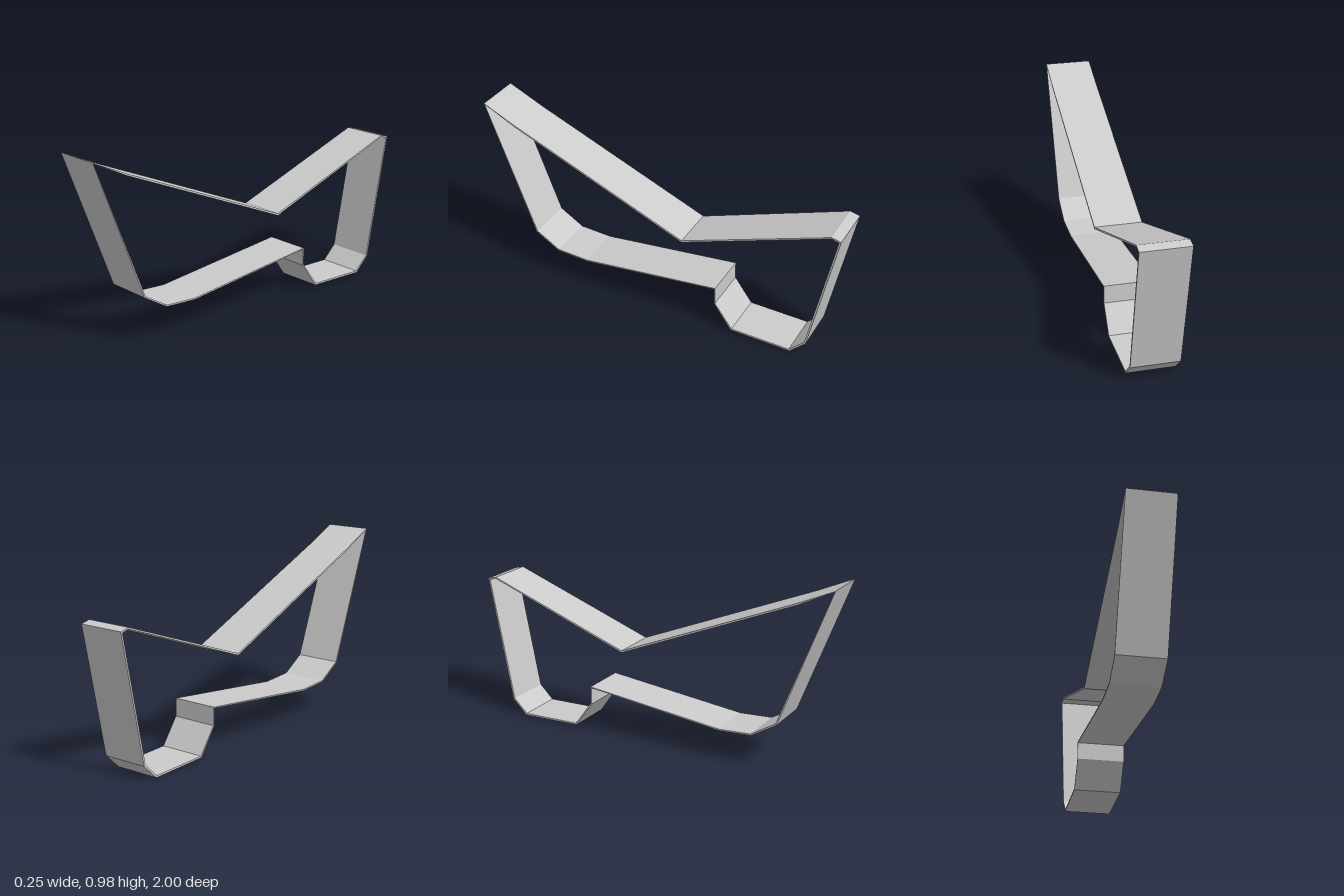
import * as THREE from 'three';

const WIDTH = 0.25;

// Outer outline of the band, seen from the side: [z, y, thickness]
const OUTLINE = [
  [1.0, 0.975, 0.002],    // front tip
  [0.725, 0.25, 0.008],
  [0.59, 0.168, 0.008],
  [0.41, 0.157, 0.008],
  [-0.349, 0.241, 0.006], // step
  [-0.35, 0.15, 0.007],
  [-0.45, 0.01, 0.009],
  [-0.782, 0.0, 0.01],
  [-0.865, 0.08, 0.01],
  [-1.0, 0.755, 0.009],   // back tip
  [-0.95, 0.767, 0.008],
  [-0.16, 0.484, 0.01],   // dip in the upper run
  [0.807, 0.887, 0.009],
];

// Moves each corner inward along its mitre by the thickness there
function inset(outline) {
  const n = outline.length;
  const points = outline.map(([z, y]) => new THREE.Vector2(z, y));
  return points.map((p, i) => {
    const a = p.clone().sub(points[(i + n - 1) % n]).normalize();
    const b = points[(i + 1) % n].clone().sub(p).normalize();
    const na = new THREE.Vector2(a.y, -a.x);
    const nb = new THREE.Vector2(b.y, -b.x);
    const mitre = na.clone().add(nb).normalize();
    return p.clone().addScaledVector(mitre, outline[i][2] / mitre.dot(na));
  });
}

export function createModel() {
  const group = new THREE.Group();
  group.name = 'foldedBandFrame';

  // Closed ribbon: outer outline with the inset outline cut out.
  // The hole runs the opposite way round so its walls face inward.
  const shape = new THREE.Shape(OUTLINE.map(([z, y]) => new THREE.Vector2(z, y)));
  shape.holes.push(new THREE.Path(inset(OUTLINE).reverse()));
  const geometry = new THREE.ExtrudeGeometry(shape, { depth: WIDTH, bevelEnabled: false });
  geometry.translate(0, 0, -WIDTH / 2);
  geometry.rotateY(-Math.PI / 2);

  const band = new THREE.Mesh(
    geometry,
    new THREE.MeshStandardMaterial({ color: 0xcccccc, flatShading: true })
  );
  band.name = 'band';
  group.add(band);
  return group;
}
